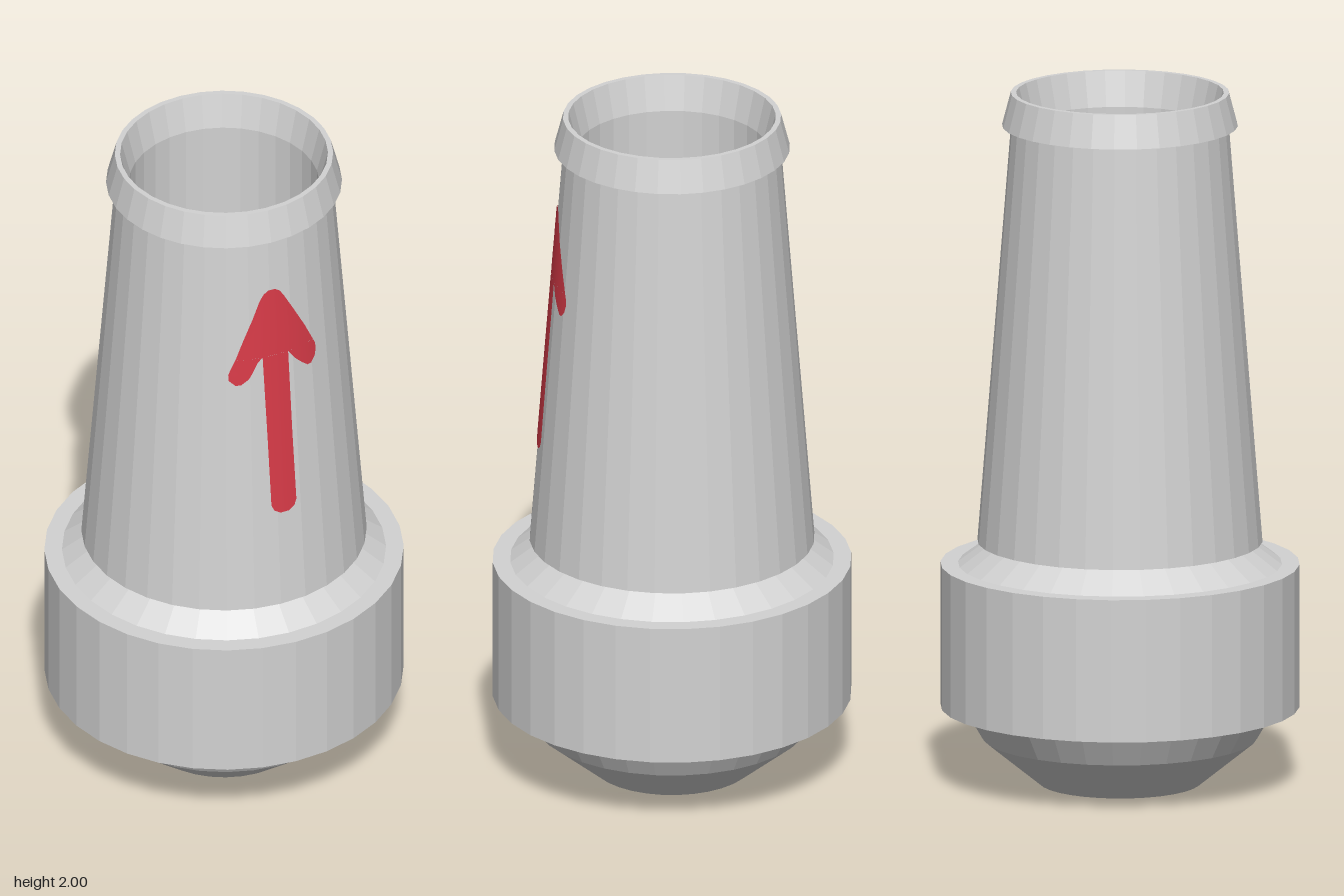
import * as THREE from 'three';

const SIDES = 32;

// Faceted solid of revolution; profile runs up the outside, down the inside
function turned(name, profile, material) {
  const points = profile.map(([r, y]) => new THREE.Vector2(r, y));
  const geometry = new THREE.LatheGeometry(points, SIDES).toNonIndexed();
  geometry.computeVertexNormals();
  const mesh = new THREE.Mesh(geometry, material);
  mesh.name = name;
  return mesh;
}

// Radius of the tapered barrel at height y
const barrelRadius = (y) => 0.405 - (0.095 * (y - 0.7)) / 1.2;

// Painted strip: rows of [y, left x, right x] from top to bottom, wrapped on the barrel
function painted(name, rows, material) {
  const steps = 8, positions = [], index = [];
  rows.forEach(([y, left, right], row) => {
    for (let i = 0; i <= steps; i++) {
      const x = left + ((right - left) * i) / steps;
      const r = barrelRadius(y) + 0.003;
      positions.push(x, y, Math.sqrt(r * r - x * x));
      if (row > 0 && i > 0) {
        const d = row * (steps + 1) + i, c = d - 1, b = d - steps - 1, a = b - 1;
        index.push(a, c, b, b, c, d);
      }
    }
  });
  const geometry = new THREE.BufferGeometry();
  geometry.setAttribute('position', new THREE.Float32BufferAttribute(positions, 3));
  geometry.setIndex(index);
  geometry.computeVertexNormals();
  const mesh = new THREE.Mesh(geometry, material);
  mesh.name = name;
  return mesh;
}

export function createModel() {
  const grey = new THREE.MeshStandardMaterial({ color: 0xd2d2d2 });
  grey.name = 'light grey';
  const red = new THREE.MeshStandardMaterial({ color: 0xd63a47 });
  red.name = 'arrow red';

  const model = new THREE.Group();
  model.name = 'nozzle';

  // Tapered foot, wide collar and the sloped seat above it
  model.add(
    turned('foot', [[0, 0], [0.23, 0], [0.39, 0.13], [0.435, 0.207], [0.46, 0.222]], grey),
    turned('collar', [[0.44, 0.222], [0.51, 0.222], [0.51, 0.635], [0.46, 0.635]], grey),
    turned('seat', [[0.46, 0.635], [0.37, 0.702]], grey)
  );

  // Tapered barrel with a flared lip
  model.add(
    turned('barrel', [[0.36, 0.7], [0.405, 0.7], [barrelRadius(0.88), 0.88], [0.31, 1.9]], grey),
    turned('lip', [[0.305, 1.905], [0.335, 1.905], [0.31, 2], [0.295, 2]], grey)
  );

  // Hollow inside with a bevelled mouth and a flat floor
  model.add(turned('bore', [[0.295, 2], [0.27, 1.9], [0.27, 0.75], [0, 0.75]], grey));

  // Painted arrow on the front
  const arrow = new THREE.Group();
  arrow.name = 'arrow';
  arrow.add(
    painted('arrowHead', [
      [1.735, -0.005, 0.015], [1.725, -0.02, 0.03], [1.705, -0.033, 0.043],
      [1.65, -0.055, 0.073], [1.58, -0.085, 0.11], [1.52, -0.108, 0.138]
    ], red),
    painted('arrowLeftBarb', [
      [1.52, -0.108, -0.03], [1.505, -0.115, -0.045], [1.475, -0.128, -0.06],
      [1.455, -0.128, -0.072], [1.438, -0.11, -0.095]
    ], red),
    painted('arrowRightBarb', [
      [1.52, 0.05, 0.138], [1.505, 0.06, 0.145], [1.485, 0.075, 0.147],
      [1.465, 0.095, 0.142], [1.448, 0.115, 0.128]
    ], red),
    painted('arrowShaft', [
      [1.52, -0.03, 0.05], [1.25, -0.024, 0.054], [1.03, -0.02, 0.059],
      [1.012, -0.012, 0.052], [1.0, 0.007, 0.035]
    ], red)
  );
  model.add(arrow);
  return model;
}
